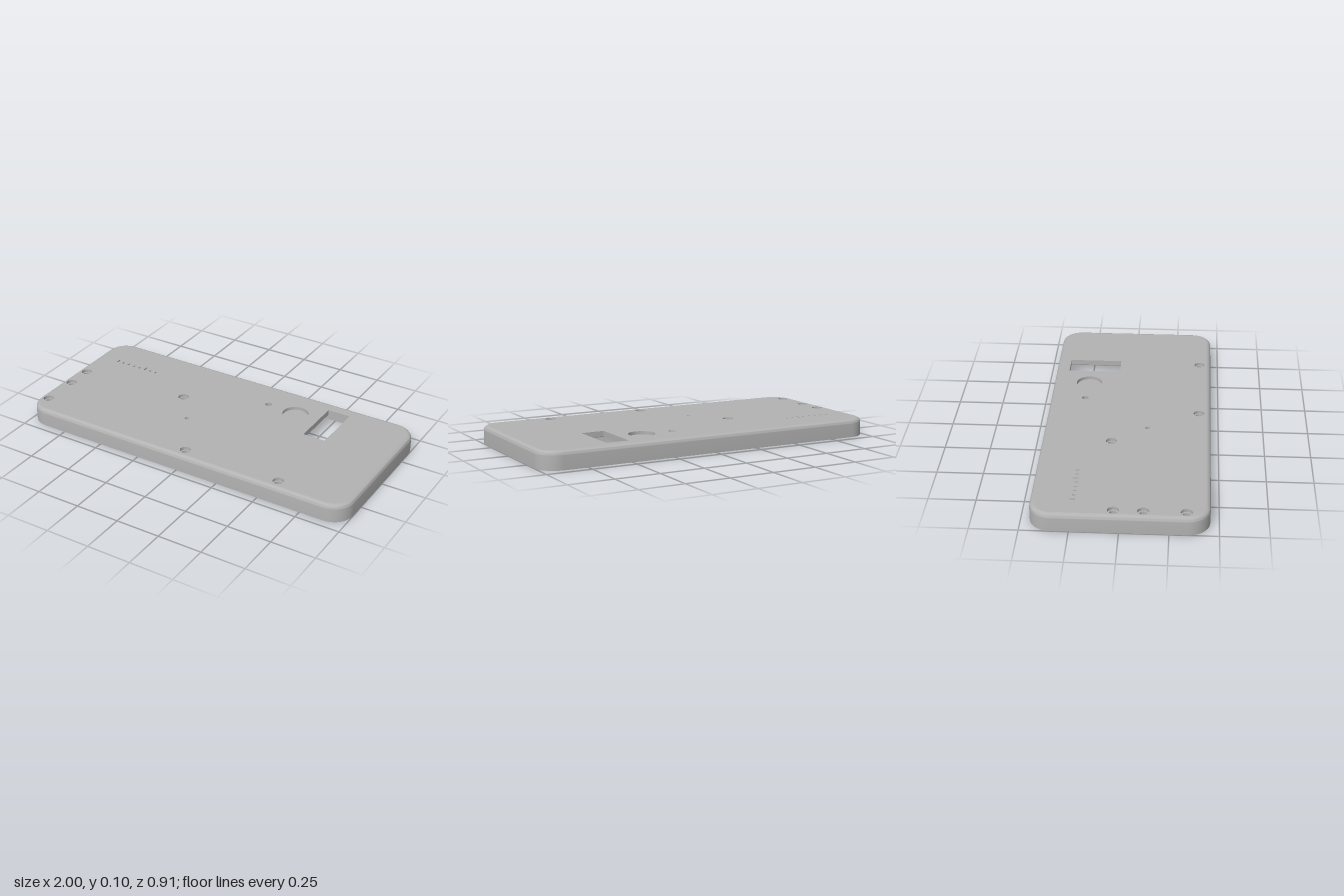
import * as THREE from 'three';
import { toCreasedNormals } from 'three/addons/utils/BufferGeometryUtils.js';

const HALF_X = 1, HALF_Z = 0.455, CORNER = 0.115, HEIGHT = 0.1;
const FILLET = 0.024, PLATE_Y = 0.07, BORE_Y = 0.082, POCKET_Y = 0.075;

// Rounded rectangle outline, pulled in by a given inset
function outline(inset) {
  const pts = [], r = CORNER - inset, n = 10;
  const cx = HALF_X - CORNER, cy = HALF_Z - CORNER;
  [[1, 1], [-1, 1], [-1, -1], [1, -1]].forEach(([sx, sy], q) => {
    for (let i = 0; i <= n; i++) {
      const a = (q + i / n) * Math.PI / 2;
      pts.push(new THREE.Vector2(sx * cx + r * Math.cos(a), sy * cy + r * Math.sin(a)));
    }
  });
  return pts;
}

// Sweep a list of [inset, y] points around the outline
function rimGeometry(profile) {
  const pos = [], index = [];
  const n = outline(0).length;
  profile.forEach(([inset, y]) => outline(inset).forEach(p => pos.push(p.x, y, -p.y)));
  for (let k = 0; k < profile.length - 1; k++) {
    for (let i = 0; i < n; i++) {
      const j = (i + 1) % n, a = k * n + i, b = k * n + j;
      index.push(a, b, b + n, a, b + n, a + n);
    }
  }
  const g = new THREE.BufferGeometry();
  g.setAttribute('position', new THREE.Float32BufferAttribute(pos, 3));
  g.setIndex(index);
  return toCreasedNormals(g, 0.6);
}

function circleHole(x, z, r) {
  return new THREE.Path().absarc(x, -z, r, 0, Math.PI * 2, true);
}

function rectHole(x0, x1, z0, z1) {
  return new THREE.Path([[x0, -z0], [x1, -z0], [x1, -z1], [x0, -z1], [x0, -z0]]
    .map(p => new THREE.Vector2(...p)));
}

// Horizontal slab with holes, between two heights
function slab(y0, y1, holes) {
  const shape = new THREE.Shape(outline(FILLET));
  shape.holes.push(...holes);
  const g = new THREE.ExtrudeGeometry(shape, { depth: y1 - y0, bevelEnabled: false, curveSegments: 16 });
  g.rotateX(-Math.PI / 2).translate(0, y0, 0);
  return toCreasedNormals(g, 0.6);
}

export function createModel() {
  const model = new THREE.Group();
  const grey = new THREE.MeshStandardMaterial({ color: 0xb2b2b2 });
  grey.name = 'grey plastic';
  const add = (name, geometry, x = 0, y = 0, z = 0) => {
    const mesh = new THREE.Mesh(geometry, grey);
    mesh.name = name;
    mesh.position.set(x, y, z);
    model.add(mesh);
  };

  // Side wall with stepped lip below and rounded edge above
  const profile = [[FILLET, PLATE_Y], [0.02, PLATE_Y], [0.02, 0.018], [0.011, 0.018],
    [0.011, 0], [0, 0], [0, HEIGHT - FILLET]];
  for (let i = 1; i <= 8; i++) {
    const a = i / 8 * Math.PI / 2;
    profile.push([FILLET * (1 - Math.cos(a)), HEIGHT - FILLET * (1 - Math.sin(a))]);
  }
  add('sideWall', rimGeometry(profile));

  // Screw positions, window and through holes
  const screws = [[-0.945, -0.03], [-0.945, 0.12], [-0.945, 0.335], [-0.295, -0.08], [0.02, 0.39], [0.59, 0.39]];
  const through = () => [
    rectHole(0.485, 0.615, -0.38, -0.08),
    circleHole(0.165, -0.26, 0.019),
    circleHole(-0.15, 0.11, 0.013),
  ];
  const bores = r => screws.map(([x, z]) => circleHole(x, z, r));

  // Row of small engraved slots, two of them longer
  const slots = [];
  for (let i = 0; i < 8; i++) {
    const x = -0.86 + i * 0.0385, tall = i === 0 || i === 5;
    slots.push(rectHole(x - 0.005, x + 0.005, tall ? -0.257 : -0.244, -0.226));
  }

  // Top face: counterbores, round recess, slots
  add('topPlate', slab(BORE_Y, HEIGHT,
    [...through(), ...bores(0.03), circleHole(0.343, -0.25, 0.073), ...slots]));
  add('middlePlate', slab(POCKET_Y, BORE_Y, [...through(), ...bores(0.021)]));

  // Underside: shallow rectangular and round pockets
  add('underPlate', slab(PLATE_Y, POCKET_Y, [
    through()[0], ...bores(0.021),
    circleHole(0.165, -0.26, 0.06), circleHole(-0.15, 0.11, 0.07),
    rectHole(-0.87, -0.35, -0.09, 0.37), rectHole(-0.93, -0.8, -0.27, -0.12),
  ]));

  // Hollow screw bosses
  const bossProfile = [[0.021, 0.025], [0.035, 0.025], [0.035, PLATE_Y + 0.002],
    [0.021, PLATE_Y + 0.002], [0.021, 0.025]].map(p => new THREE.Vector2(...p));
  const boss = toCreasedNormals(new THREE.LatheGeometry(bossProfile, 32), 0.6);
  screws.forEach(([x, z]) => add('screwBoss', boss, x, 0, z));

  // Locating pins along the long edges
  const pin = new THREE.CylinderGeometry(0.015, 0.015, 0.047, 20);
  [[0.785, 0.395], [0.215, 0.395], [-0.28, -0.385], [-0.74, -0.385]]
    .forEach(([x, z]) => add('locatingPin', pin, x, 0.0485, z));

  // Short studs
  const stud = new THREE.CylinderGeometry(0.026, 0.026, 0.024, 24);
  add('recessStud', stud, 0.343, 0.06, -0.25);
  add('edgeStud', stud, -0.43, 0.06, -0.375);

  return model;
}
